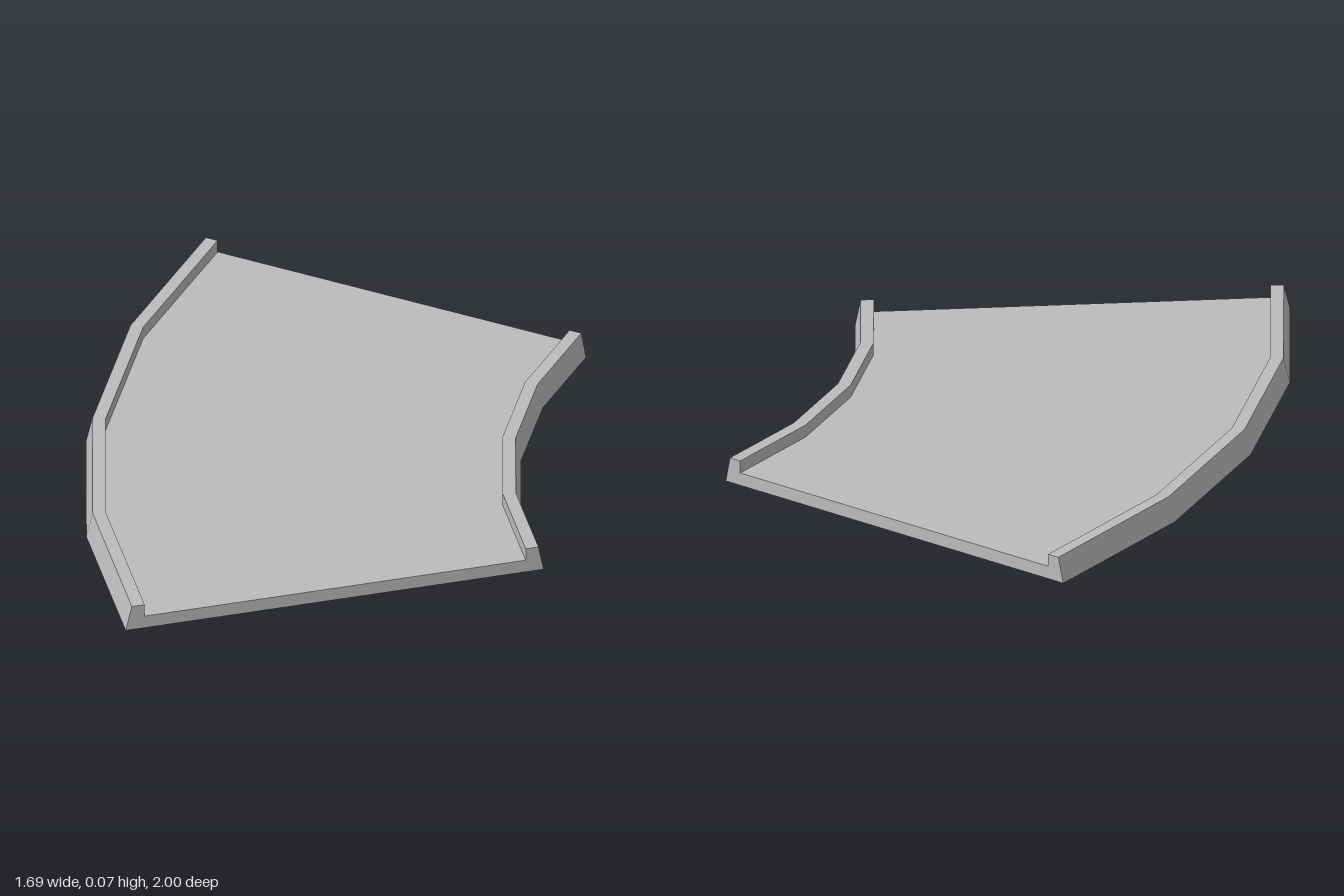
import * as THREE from 'three';

const CENTRE_X = 1.983, CENTRE_Z = 1; // pivot of the bend
const SEGMENTS = 4, SWEEP = Math.PI / 4;

// Cross-section as (radius, height), counter-clockwise: flat deck with a raised kerb on each side
const profile = [
  [1.613, 0], [2.828, 0],       // underside
  [2.81, 0.073], [2.773, 0.073], // outer kerb
  [2.773, 0.037], [1.665, 0.037], // deck
  [1.665, 0.073], [1.628, 0.073], // inner kerb
].map(([r, y]) => new THREE.Vector2(r, y));

// Sweeps a closed section around the bend in straight facets and caps both ends
function sweepSection(section) {
  const positions = [];
  const put = (p, step) => {
    const a = (SWEEP * step) / SEGMENTS;
    positions.push(CENTRE_X - p.x * Math.cos(a), p.y, CENTRE_Z - p.x * Math.sin(a));
  };

  // Facets along the bend
  for (let s = 0; s < SEGMENTS; s++) {
    section.forEach((p, i) => {
      const q = section[(i + 1) % section.length];
      put(p, s); put(q, s); put(q, s + 1);
      put(p, s); put(q, s + 1); put(p, s + 1);
    });
  }

  // End faces
  for (const [a, b, c] of THREE.ShapeUtils.triangulateShape(section, [])) {
    put(section[a], SEGMENTS); put(section[b], SEGMENTS); put(section[c], SEGMENTS);
    put(section[c], 0); put(section[b], 0); put(section[a], 0);
  }

  const geometry = new THREE.BufferGeometry();
  geometry.setAttribute('position', new THREE.Float32BufferAttribute(positions, 3));
  geometry.computeVertexNormals(); // unshared corners give flat facets
  return geometry;
}

export function createModel() {
  const concreteGrey = new THREE.MeshStandardMaterial({ color: 0xbcbcbc });
  concreteGrey.name = 'concrete grey';

  const bend = new THREE.Mesh(sweepSection(profile), concreteGrey);
  bend.name = 'curvedDeckWithKerbs';

  const group = new THREE.Group();
  group.name = 'curvedTrackPiece';
  group.add(bend);
  return group;
}
